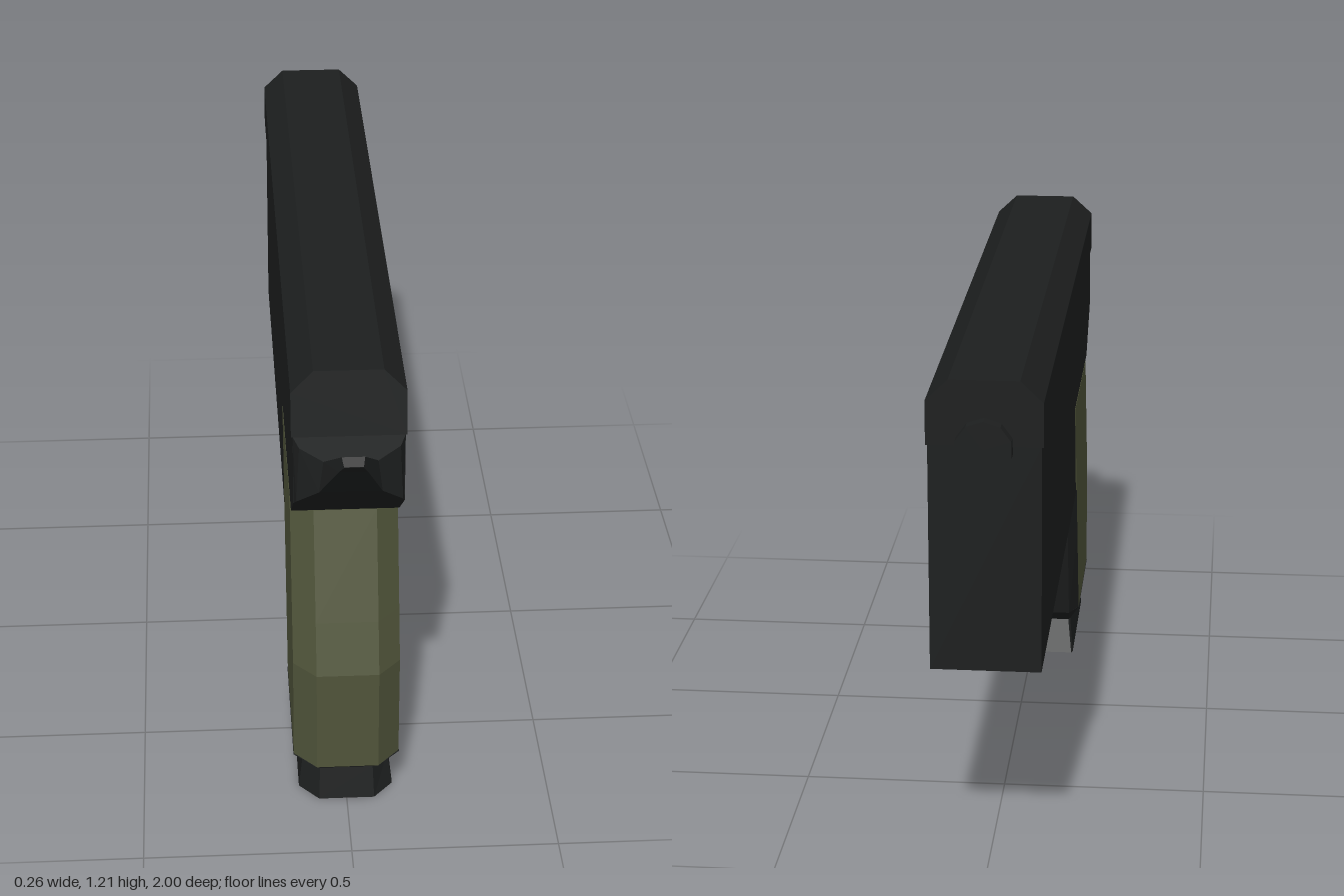
import * as THREE from 'three';

const black = new THREE.MeshStandardMaterial({ color: 0x1d1f1f, flatShading: true });
const olive = new THREE.MeshStandardMaterial({ color: 0x50543a, flatShading: true });

// Flat-shaded solid through rings of [x, y, z], capped at both ends
function loft(rings) {
  const tris = [];
  const n = rings[0].length;
  for (let r = 0; r < rings.length - 1; r++) {
    for (let i = 0; i < n; i++) {
      const j = (i + 1) % n;
      const [a, b, c, d] = [rings[r][i], rings[r][j], rings[r + 1][j], rings[r + 1][i]];
      tris.push([a, b, c], [a, c, d]);
    }
  }
  const end = rings[rings.length - 1];
  for (let i = 1; i < n - 1; i++) {
    tris.push([rings[0][0], rings[0][i + 1], rings[0][i]], [end[0], end[i], end[i + 1]]);
  }
  // A negative enclosed volume means the faces point inward
  let volume = 0;
  for (const t of tris) {
    const [a, b, c] = t.map((p) => new THREE.Vector3(...p));
    volume += a.dot(b.cross(c));
  }
  if (volume < 0) tris.forEach((t) => t.reverse());
  const geometry = new THREE.BufferGeometry();
  geometry.setAttribute('position', new THREE.Float32BufferAttribute(tris.flat(2), 3));
  geometry.computeVertexNormals();
  return geometry;
}

// Mirror a half outline of [x, y, z] across x = 0
const mirrored = (half) => [...half, ...half.slice().reverse().map(([x, y, z]) => [-x, y, z])];

export function createModel() {
  const model = new THREE.Group();
  const add = (name, geometry, material = black) => {
    const mesh = new THREE.Mesh(geometry, material);
    mesh.name = name;
    model.add(mesh);
    return mesh;
  };

  // Upper slide: chamfered top, slanted rear end
  const slideRing = (zLow, zHigh) => mirrored([
    [0.132, 1.057, zLow],
    [0.132, 1.16, zLow + (zHigh - zLow) * 0.67],
    [0.08, 1.21, zHigh],
  ]);
  add('slide', loft([slideRing(-0.97, -0.97), slideRing(0.832, 0.802)]));

  // Frame: side profile [z, y] extruded across the width
  const profile = [
    [-0.965, 0.515], [-0.965, 1.06], [0.83, 1.06], [0.835, 0.886],
    [0.69, 0.775], [0.19, 0.775], [0.25, 0.515],
  ];
  const shape = new THREE.Shape(profile.map(([z, y]) => new THREE.Vector2(-z, y)));
  const frame = new THREE.ExtrudeGeometry(shape, { depth: 0.256, bevelEnabled: false });
  frame.rotateY(Math.PI / 2).translate(-0.128, 0, 0);
  add('frame', frame);

  // Rear tang narrowing to an upturned tip: z, top y, bottom y, top and bottom half widths
  const tang = [
    [0.83, 1.057, 0.882, 0.128, 0.128],
    [0.86, 1.045, 0.905, 0.115, 0.122],
    [0.897, 1.03, 0.95, 0.062, 0.072],
    [0.98, 1.09, 1.052, 0.026, 0.032],
    [1.0, 1.076, 1.074, 0.022, 0.022],
  ];
  add('rearTang', loft(tang.map(([z, top, low, wTop, wLow]) =>
    mirrored([[wLow, low, z], [wTop, top, z]]))));

  // Short barrel end
  const barrel = new THREE.CylinderGeometry(0.066, 0.066, 0.1, 10);
  barrel.rotateX(Math.PI / 2).translate(0, 1.058, -0.95);
  add('barrelEnd', barrel);

  // Grip levels: y, strap front z, panel front z, rear z
  const levels = [
    [0.775, 0.195, 0.19, 0.692],
    [0.515, 0.237, 0.273, 0.783],
    [0.39, 0.272, 0.313, 0.825],
    [0.12, 0.35, 0.4, 0.825],
  ];
  add('gripPanel', loft(levels.map(([y, , front, rear]) => mirrored([
    [0.129, y, front], [0.129, y, rear - 0.06], [0.075, y, rear],
  ]))), olive);
  add('gripFrontStrap', loft(levels.slice(1).map(([y, strap, front]) => mirrored([
    [0.105, y, strap], [0.129, y, front],
  ]))));

  // Grip base: tapered neck, then flared foot
  // y, front half width, front z, side half width, side z, rear z, rear half width
  const base = [
    [0.12, 0.105, 0.35, 0.13, 0.4, 0.825, 0.075],
    [0.08, 0.1, 0.4, 0.105, 0.41, 0.775, 0.065],
    [0, 0.112, 0.348, 0.116, 0.36, 0.795, 0.068],
  ];
  add('gripBase', loft(base.map(([y, wf, zf, w, zs, rear, wr]) => mirrored([
    [wf, y, zf], [w, y, zs], [w, y, rear - 0.055], [wr, y, rear],
  ]))));

  return model;
}
